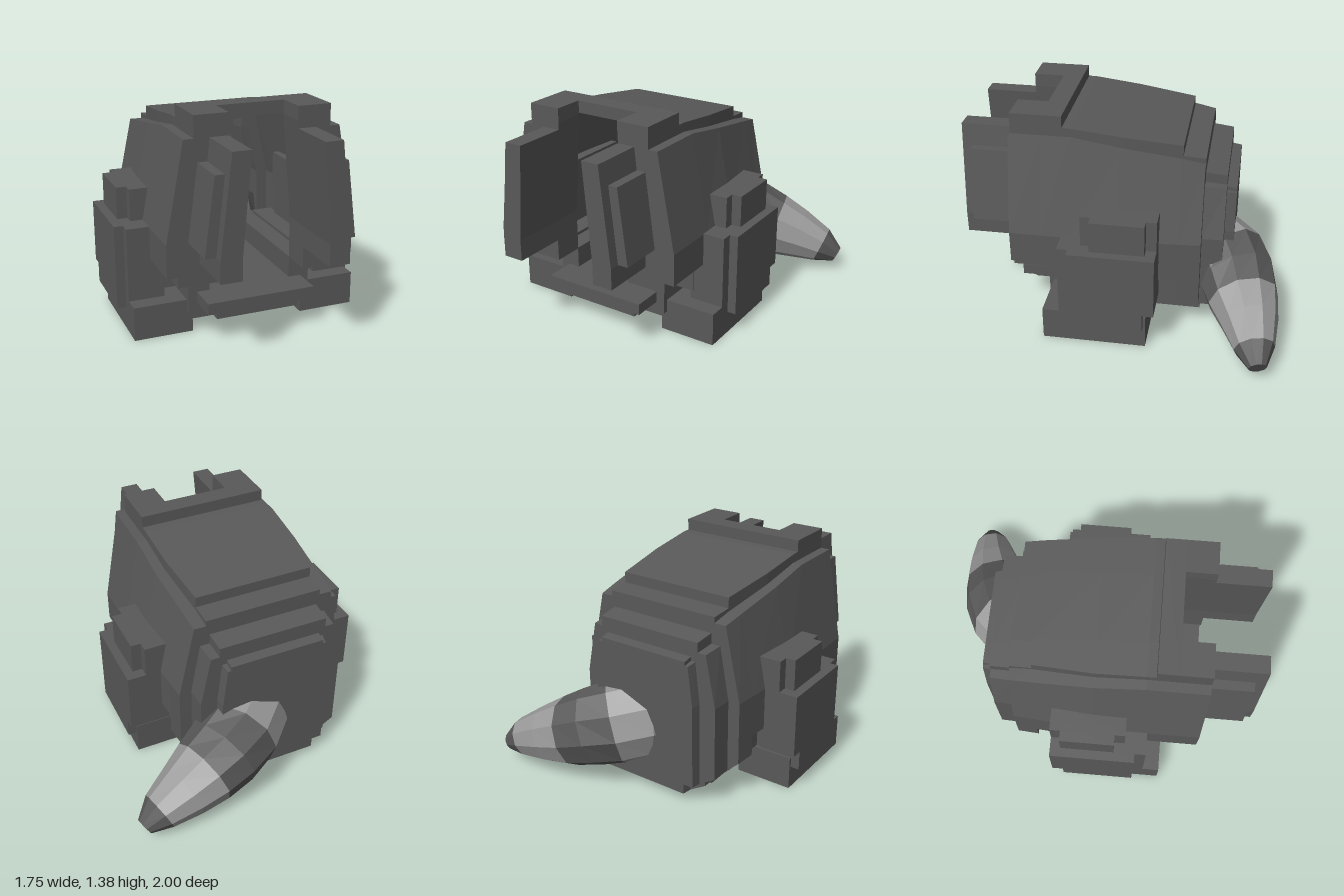
import * as THREE from 'three';

const MID = -0.0875; // the body's own centre line

export function createModel() {
  const root = new THREE.Group();
  root.name = 'tailedBody';
  const mat = (name, color, side = THREE.FrontSide) => {
    const m = new THREE.MeshStandardMaterial({ color, side, flatShading: true });
    m.name = name;
    return m;
  };
  const dark = mat('darkGrey', 0x595959, THREE.DoubleSide);
  const light = mat('lightGrey', 0x989898, THREE.DoubleSide);
  const body = new THREE.Group();
  body.name = 'body';
  body.position.x = MID;
  root.add(body);

  const add = (name, geo, parent = body, m = dark) => {
    const mesh = new THREE.Mesh(geo, m);
    mesh.name = name;
    parent.add(mesh);
    return mesh;
  };
  // box from its limits
  const box = (name, x0, x1, y0, y1, z0, z1, parent) => {
    const g = new THREE.BoxGeometry(Math.abs(x1 - x0), y1 - y0, z1 - z0);
    g.translate((x0 + x1) / 2, (y0 + y1) / 2, (z0 + z1) / 2);
    return add(name, g, parent);
  };
  // outline in x and y, extruded along z
  const slab = (name, pts, s, z0, z1) => {
    const shape = new THREE.Shape(pts.map(([x, y]) => new THREE.Vector2(x * s, y)));
    const g = new THREE.ExtrudeGeometry(shape, { depth: z1 - z0, bevelEnabled: false });
    g.translate(0, 0, z0);
    return add(name, g);
  };
  // skin between successive rows of points
  const skin = (rows, skip = () => false) => {
    const pos = [];
    for (let i = 0; i + 1 < rows.length; i++) {
      for (let j = 0; j + 1 < rows[i].length; j++) {
        if (skip(i, j)) continue;
        const [a, b, c, d] = [rows[i][j], rows[i][j + 1], rows[i + 1][j + 1], rows[i + 1][j]];
        for (const p of [a, b, c, a, c, d]) pos.push(...p);
      }
    }
    const g = new THREE.BufferGeometry();
    g.setAttribute('position', new THREE.Float32BufferAttribute(pos, 3));
    g.computeVertexNormals();
    return g;
  };

  // hollow shell, stepping inward at the back
  // z, bottom, knee width, shoulder width, shoulder height, roof width, roof height
  const sections = [
    [0.67, 0.46, 0.585, 0.475, 1.255, 0.415, 1.315],
    [0.475, 0.46, 0.585, 0.475, 1.255, 0.415, 1.315],
    [0.3, 0.46, 0.585, 0.475, 1.255, 0.415, 1.31],
    [0, 0.395, 0.585, 0.475, 1.205, 0.41, 1.275],
    [-0.365, 0.395, 0.555, 0.455, 1.145, 0.375, 1.23],
    [-0.365, 0.265, 0.555, 0.455, 1.145, 0.375, 1.165],
    [-0.5, 0.265, 0.545, 0.445, 1.12, 0.37, 1.155],
    [-0.5, 0.195, 0.47, 0.41, 0.99, 0.35, 1.055],
    [-0.63, 0.195, 0.465, 0.4, 0.98, 0.345, 1.04],
    [-0.63, 0.13, 0.36, 0.33, 0.92, 0.3, 0.945],
    [-0.69, 0.13, 0.35, 0.32, 0.91, 0.3, 0.935],
  ];
  const rows = sections.map(([z, y0, kw, sw, sy, rw, ry]) => {
    const half = [[kw - 0.065, y0 - 0.065], [kw - 0.065, y0], [kw, y0], [kw, 0.66],
      [sw, sy], [rw, sy], [rw, ry], [0.21, ry]];
    return [...half.map(([x, y]) => [x, y, z]),
      ...half.reverse().map(([x, y]) => [-x, y, z])];
  });
  add('shell', skin(rows, (i, j) => i === 0 && j === 7));
  const last = rows[rows.length - 1];
  add('backPlate', new THREE.ShapeGeometry(new THREE.Shape(
    last.map(([x, y]) => new THREE.Vector2(x, y)))).translate(0, 0, -0.69));

  // roof ridge behind the notch, belly and lower lip
  box('roofRidge', -0.415, 0.415, 1.31, 1.385, 0.355, 0.48);
  box('belly', -0.36, 0.36, 0.065, 0.2, -0.5, 0.42);
  box('bellyFloor', -0.395, 0.395, 0.13, 0.265, -0.5, 0.48);
  box('lowerLip', -0.34, 0.34, 0.195, 0.265, 0.4, 0.67);
  box('lipBase', -0.2625, 0.2625, 0.13, 0.2, 0.4, 0.61);

  for (const s of [1, -1]) {
    // half of the thick front frame
    slab('frontFrame', [[0.585, 0.46], [0.585, 0.66], [0.475, 1.255], [0.415, 1.255],
      [0.415, 1.385], [0.21, 1.385], [0.21, 1.3], [0.2625, 0.66], [0.2625, 0.395],
      [0.52, 0.395], [0.52, 0.46]], s, 0.478, 0.67);
    // tusk and its side plate
    slab('tusk', [[0.2125, 1.255], [0.3225, 1.255], [0.39, 0.66], [0.39, 0.53],
      [0.2625, 0.53], [0.2625, 0.66]], s, 0.66, 1);
    slab('tuskPlate', [[0.33, 1.12], [0.395, 1.12], [0.455, 0.66], [0.38, 0.66]], s, 0.66, 0.935);
    box('lowerWall', 0.2625 * s, 0.395 * s, 0.26, 0.4, -0.5, 0.48);
    box('lowerSide', 0.38 * s, 0.52 * s, 0.265, 0.42, -0.365, 0.35);

    // leg made of stacked blocks
    const leg = new THREE.Group();
    leg.name = s > 0 ? 'leftLeg' : 'rightLeg';
    body.add(leg);
    box('foot', 0.36 * s, 0.7225 * s, 0, 0.21, -0.195, 0.45, leg);
    box('shin', 0.5 * s, 0.7225 * s, 0.2, 0.665, -0.18, 0.345, leg);
    box('thighLower', 0.7 * s, 0.7775 * s, 0.145, 0.28, -0.18, 0.275, leg);
    box('thigh', 0.5 * s, 0.7775 * s, 0.27, 0.665, -0.25, 0.275, leg);
    box('hip', 0.48 * s, 0.66 * s, 0.66, 0.862, -0.25, 0.21, leg);
    box('hipCap', 0.6 * s, 0.7225 * s, 0.66, 0.862, -0.185, 0.145, leg);
  }

  // curved, banded tail: x, y, z, radius of each ring
  const tail = new THREE.Group();
  tail.name = 'tail';
  root.add(tail);
  const spine = [
    [-0.07, 0.36, -0.4, 0.19], [0.03, 0.4, -0.53, 0.265], [0.155, 0.37, -0.66, 0.262],
    [0.28, 0.33, -0.73, 0.245], [0.425, 0.275, -0.778, 0.22], [0.58, 0.225, -0.825, 0.178],
    [0.75, 0.165, -0.864, 0.124], [0.858, 0.108, -0.89, 0.055],
  ];
  const centres = spine.map(([x, y, z]) => new THREE.Vector3(x, y, z));
  const rings = spine.map(([, , , r], i) => {
    const t = centres[Math.min(i + 1, 7)].clone().sub(centres[Math.max(i - 1, 0)]).normalize();
    const side = new THREE.Vector3(0, 1, 0).cross(t).normalize();
    const up = t.clone().cross(side);
    return Array.from({ length: 11 }, (_, k) => {
      const a = ((k % 10) / 10) * Math.PI * 2;
      return centres[i].clone().addScaledVector(side, r * Math.cos(a))
        .addScaledVector(up, r * Math.sin(a)).toArray();
    });
  });
  [[0, 2, light], [2, 4, dark], [4, 6, light], [6, 7, dark]].forEach(([a, b, m], i) =>
    add('tailBand' + (i + 1), skin(rings.slice(a, b + 1)), tail, m));
  // closed ends
  const cap = (i) => skin([rings[i], rings[i].map(() => centres[i].toArray())]);
  add('tailBase', cap(0), tail);
  add('tailTip', cap(7), tail);
  return root;
}
